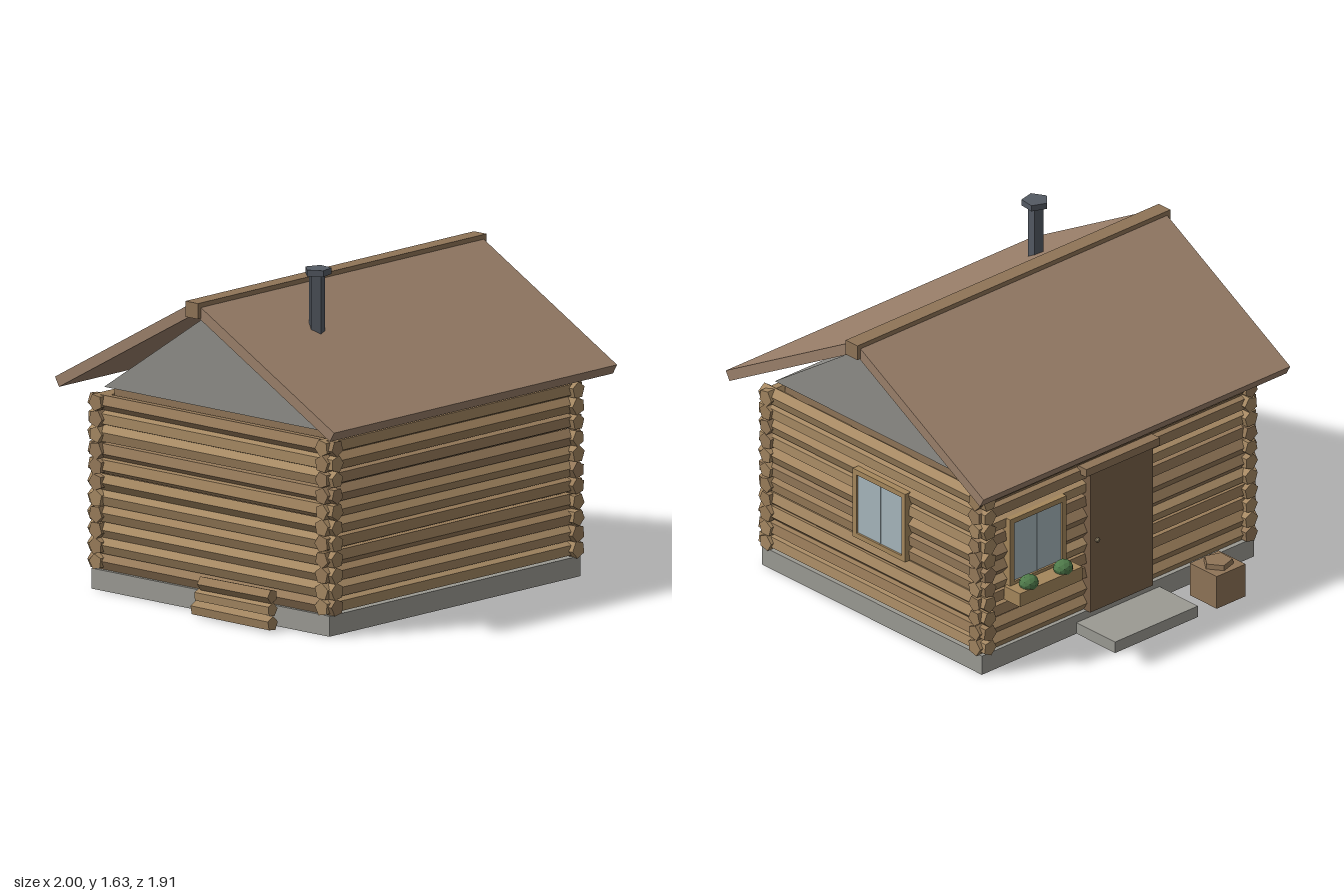
import * as THREE from 'three';

const CZ = 0.065; // z of the ridge line and house centre

const mat = (color) => new THREE.MeshStandardMaterial({ color, flatShading: true });
const woods = [0xa1845f, 0x9a7d5a, 0xa68963, 0x967a5a].map(mat);
const roofMat = mat(0x9b806a), trimMat = mat(0x8f7457), doorMat = mat(0x7a6148);
const frameMat = mat(0xa5875c), stone = mat(0x9b9a93), gableMat = mat(0x8d8c87);
const slate = mat(0x545a63), glassMat = mat(0xa6b6bc), leaf = mat(0x4f7a4a), metal = mat(0xa89878);

let seed = 7;
const rand = () => (seed = (seed * 16807) % 2147483647) / 2147483647;

function add(parent, name, geometry, material, x, y, z) {
  const mesh = new THREE.Mesh(geometry, material);
  mesh.name = name;
  mesh.position.set(x, y, z);
  parent.add(mesh);
  return mesh;
}

const box = (parent, name, material, w, h, d, x, y, z) =>
  add(parent, name, new THREE.BoxGeometry(w, h, d), material, x, y, z);

// Five-sided log lying along x or z, with a random roll and slight taper
function log(parent, name, axis, length, radius, x, y, z) {
  const geo = new THREE.CylinderGeometry(radius * (0.94 + rand() * 0.1), radius * (0.94 + rand() * 0.1), length, 5);
  geo.rotateY(rand() * Math.PI * 2);
  if (axis === 'x') geo.rotateZ(Math.PI / 2);
  else geo.rotateX(Math.PI / 2);
  return add(parent, name, geo, woods[Math.floor(rand() * woods.length)], x, y, z);
}

// Window facing +z, with its back on z = 0
function makeWindow(name) {
  const g = new THREE.Group();
  g.name = name;
  const size = 0.36, bar = 0.026, off = (size - bar) / 2;
  for (const s of [-1, 1]) {
    box(g, 'windowFrameRail', frameMat, size, bar, 0.05, 0, s * off, -0.005);
    box(g, 'windowFrameStile', frameMat, bar, size - 2 * bar, 0.05, s * off, 0, -0.005);
  }
  box(g, 'windowGlass', glassMat, size - 2 * bar, size - 2 * bar, 0.04, 0, 0, -0.01);
  box(g, 'windowMullion', glassMat, 0.008, size - 2 * bar, 0.006, 0, 0, 0.011);
  return g;
}

export function createModel() {
  const model = new THREE.Group();
  model.name = 'logCabin';

  // Foundation and wall core
  box(model, 'foundation', stone, 1.74, 0.098, 1.51, 0, 0.049, CZ);
  box(model, 'wallCore', trimMat, 1.58, 0.87, 1.365, 0, 0.53, CZ);

  // Log walls, crossing at the corners
  const walls = new THREE.Group();
  walls.name = 'logWalls';
  model.add(walls);
  for (let i = 0; i < 11; i++) {
    const y = 0.136 + i * 0.0764;
    for (const s of [-1, 1]) {
      log(walls, 'frontBackLog', 'x', 1.77, 0.042, 0, y, CZ + s * 0.717);
      log(walls, 'sideLog', 'z', 1.55, 0.042, s * 0.835, y, CZ);
    }
  }

  // Gable ends as one prism under the roof
  const tri = new THREE.Shape([
    new THREE.Vector2(-0.72, 0.965), new THREE.Vector2(0.72, 0.965), new THREE.Vector2(0, 1.45),
  ]);
  const gableGeo = new THREE.ExtrudeGeometry(tri, { depth: 1.64, bevelEnabled: false });
  gableGeo.translate(0, 0, -0.82).rotateY(-Math.PI / 2);
  add(model, 'gables', gableGeo, gableMat, 0, 0, CZ);

  // Roof slabs and ridge beam
  for (const s of [-1, 1]) {
    const slab = box(model, 'roofSlab', roofMat, 1.96, 0.052, 1.014, 0, 1.24, CZ + s * 0.43);
    slab.rotation.x = s * 0.51;
  }
  box(model, 'ridgeBeam', trimMat, 2, 0.075, 0.08, 0, 1.473, CZ);

  // Chimney
  const pipe = new THREE.CylinderGeometry(0.04, 0.04, 0.42, 5).rotateY(-Math.PI / 2);
  add(model, 'chimneyPipe', pipe, slate, -0.46, 1.4, 0.365);
  const cap = new THREE.CylinderGeometry(0.066, 0.066, 0.03, 5).rotateY(-Math.PI / 2 - 0.1);
  add(model, 'chimneyCap', cap, slate, -0.455, 1.615, 0.365);

  // Windows
  const sideWindow = makeWindow('sideWindow');
  sideWindow.position.set(0.875, 0.59, -0.01);
  sideWindow.rotation.y = Math.PI / 2;
  const backWindow = makeWindow('backWindow');
  backWindow.position.set(0.53, 0.59, -0.693);
  backWindow.rotation.y = Math.PI;
  model.add(sideWindow, backWindow);

  // Flower box with plants
  box(model, 'flowerBox', frameMat, 0.4, 0.07, 0.11, 0.53, 0.385, -0.745);
  for (const x of [0.64, 0.42]) {
    add(model, 'plant', new THREE.IcosahedronGeometry(0.045, 1).scale(1.1, 0.9, 1), leaf, x, 0.435, -0.765);
  }

  // Door, lintel, knob and step
  box(model, 'door', doorMat, 0.4, 0.735, 0.09, 0, 0.465, -0.67);
  box(model, 'doorLintel', trimMat, 0.47, 0.04, 0.06, 0, 0.85, -0.695);
  add(model, 'doorKnob', new THREE.IcosahedronGeometry(0.013, 0), metal, 0.16, 0.47, -0.722);
  box(model, 'doorStep', stone, 0.53, 0.058, 0.265, 0, 0.029, -0.8225);

  // Crate with a round lid
  box(model, 'crate', trimMat, 0.185, 0.17, 0.185, -0.477, 0.085, -0.8625);
  const lid = new THREE.CylinderGeometry(0.07, 0.075, 0.024, 5).rotateY(0.3);
  add(model, 'crateLid', lid, trimMat, -0.475, 0.182, -0.865);

  // Stacked firewood
  [0.036, 0.102, 0.165].forEach((y, i) => {
    const wood = log(model, 'firewood', 'z', 0.5 - i * 0.03, 0.035, -0.963, y, 0.3 + i * 0.01);
    wood.rotation.y = (i - 1) * 0.02;
  });

  return model;
}
